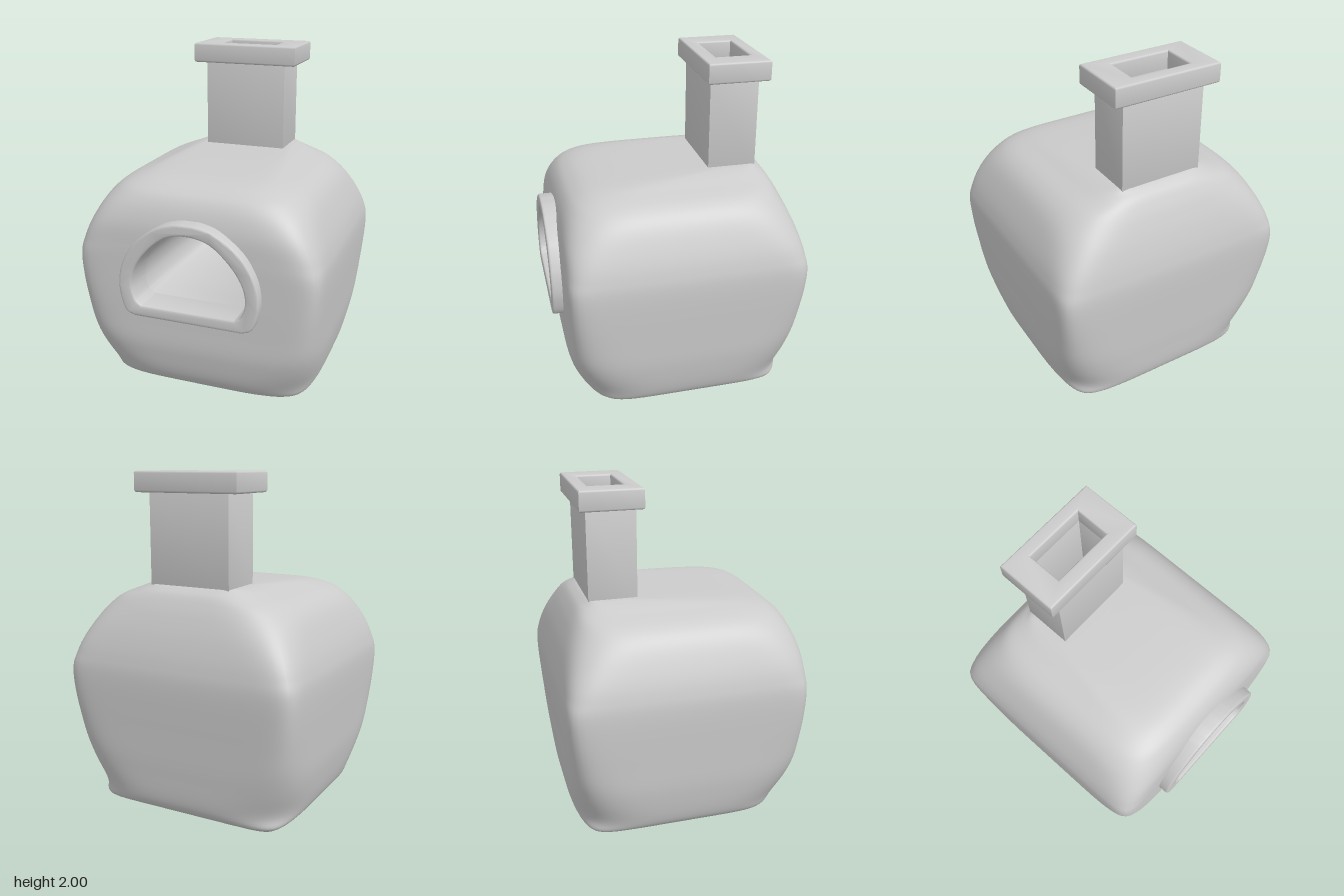
import * as THREE from 'three';
import { toCreasedNormals } from 'three/addons/utils/BufferGeometryUtils.js';

const grey = new THREE.MeshStandardMaterial({ color: 0xcccccc, side: THREE.DoubleSide });

function add(group, name, geometry, crease) {
  const mesh = new THREE.Mesh(toCreasedNormals(geometry, crease), grey);
  mesh.name = name;
  group.add(mesh);
}

// Mirrored arch outline: flat sill, rounded corners, domed top
function archPoints(half) {
  const right = new THREE.CatmullRomCurve3(
    half.map(([x, y]) => new THREE.Vector3(x, y, 0)), false, 'centripetal').getPoints(32);
  const left = right.slice(0, -1).reverse().map((p) => new THREE.Vector3(-p.x, p.y, 0));
  return [...right, ...left].map((p) => new THREE.Vector2(p.x, p.y));
}
const OUTER = archPoints([[0.33, 0.535], [0.385, 0.56], [0.42, 0.66], [0.425, 0.75], [0.4, 0.86],
  [0.32, 0.99], [0.17, 1.1], [0.06, 1.13], [0, 1.132]]);
const INNER = archPoints([[0.285, 0.605], [0.32, 0.63], [0.345, 0.7], [0.345, 0.76], [0.32, 0.84],
  [0.25, 0.94], [0.14, 1.035], [0.05, 1.063], [0, 1.066]]);
const MIDDLE = OUTER.map((p, i) => p.clone().lerp(INNER[i], 0.5));

function inside(poly, x, y) {
  let hit = false;
  poly.forEach((a, i) => {
    const b = poly[(i + 1) % poly.length];
    if ((a.y > y) !== (b.y > y) && x < ((b.x - a.x) * (y - a.y)) / (b.y - a.y) + a.x) hit = !hit;
  });
  return hit;
}

// Grid of rings joined into a surface; skip() leaves openings
function loft(rings, skip = () => false) {
  const n = rings[0].length;
  const pos = rings.flat().flatMap((p) => [p.x, p.y, p.z]);
  const index = [];
  for (let i = 0; i < rings.length - 1; i++) {
    for (let j = 0; j < n; j++) {
      const k = (j + 1) % n;
      const mid = rings[i][j].clone().add(rings[i + 1][k]).multiplyScalar(0.5);
      if (skip(mid)) continue;
      const a = i * n + j, b = i * n + k, c = a + n, d = b + n;
      index.push(a, c, b, b, c, d);
    }
  }
  const g = new THREE.BufferGeometry();
  g.setAttribute('position', new THREE.Float32BufferAttribute(pos, 3));
  g.setIndex(index);
  return g;
}

// Bulging body: height, half width, front z, back z, squareness of the corners
function bodyGeometry() {
  const levels = [
    [0, 0.58, 0.41, -0.61, 11], [0.07, 0.665, 0.6, -0.69, 4.5], [0.28, 0.715, 0.67, -0.718, 6],
    [0.5, 0.733, 0.68, -0.732, 10], [0.8, 0.747, 0.682, -0.747, 16], [0.94, 0.73, 0.68, -0.735, 12],
    [1.08, 0.68, 0.67, -0.7, 8], [1.2, 0.615, 0.63, -0.655, 5.5], [1.27, 0.535, 0.565, -0.62, 5],
    [1.315, 0.42, 0.44, -0.59, 5], [1.34, 0.35, 0.15, -0.56, 5], [1.355, 0.29, -0.22, -0.535, 6],
  ];
  const SUB = 8, SEG = 200;
  const smooth = (v, i, t) => {
    const at = (k) => levels[Math.min(Math.max(k, 0), levels.length - 1)][v];
    const p0 = at(i - 1), p1 = at(i), p2 = at(i + 1), p3 = at(i + 2);
    const m1 = (p2 - p0) * 0.5, m2 = (p3 - p1) * 0.5;
    const u = t * t, w = u * t;
    return (2 * w - 3 * u + 1) * p1 + (w - 2 * u + t) * m1 + (3 * u - 2 * w) * p2 + (w - u) * m2;
  };
  const ring = (y, hw, zf, zb, n) => Array.from({ length: SEG }, (_, j) => {
    const c = Math.cos((j / SEG) * Math.PI * 2), s = Math.sin((j / SEG) * Math.PI * 2);
    const r = (Math.abs(c) ** n + Math.abs(s) ** n) ** (-1 / n);
    return new THREE.Vector3(hw * c * r, y, (zf + zb) / 2 + ((zf - zb) / 2) * s * r);
  });
  // Flat base, inset ring keeping its shading flat, walls, then the flat crown
  const rings = [ring(0, 0, -0.1, -0.1, 11), ring(0, 0.56, 0.39, -0.59, 11)];
  for (let k = 0; k <= (levels.length - 1) * SUB; k++) {
    const i = Math.min(Math.floor(k / SUB), levels.length - 2), t = k / SUB - i;
    rings.push(ring(...[0, 1, 2, 3, 4].map((v) => smooth(v, i, t))));
  }
  rings.push(ring(1.355, 0, -0.38, -0.38, 6));
  return loft(rings, (p) => p.z > 0.5 && inside(MIDDLE, p.x, p.y));
}

// Chamber behind the mouth, closing in a rounded back
function chamberGeometry() {
  const sections = [[0.7, 1], [0.45, 1], [0.1, 0.98], [-0.2, 0.9], [-0.4, 0.7], [-0.48, 0.4], [-0.5, 0]];
  return loft(sections.map(([z, s]) =>
    INNER.map((p) => new THREE.Vector3(p.x * s, 0.78 + (p.y - 0.78) * s, z))));
}

function extrude(outline, hole, depth, bevel) {
  const shape = new THREE.Shape(outline);
  shape.holes.push(new THREE.Path(hole));
  const g = new THREE.ExtrudeGeometry(shape, {
    depth: depth - 2 * bevel, bevelEnabled: true, bevelSize: bevel, bevelThickness: bevel,
    bevelOffset: -bevel, bevelSegments: 3,
  });
  return g.translate(0, 0, bevel);
}

// Upright rectangular tube around the flue
function flue(hw, zBack, zFront, y0, y1, bevel) {
  const rect = (w, b, f) => [[-w, -f], [w, -f], [w, -b], [-w, -b]].map((p) => new THREE.Vector2(...p));
  return extrude(rect(hw, zBack, zFront), rect(0.182, -0.498, -0.292), y1 - y0, bevel)
    .rotateX(-Math.PI / 2).translate(0, y0, 0);
}

export function createModel() {
  const group = new THREE.Group();
  group.name = 'oven';
  add(group, 'body', bodyGeometry(), 1.1);
  add(group, 'mouthRim', extrude(OUTER, INNER, 0.2, 0.012).translate(0, 0, 0.545), 0.6);
  add(group, 'chamber', chamberGeometry(), 0.8);
  add(group, 'chimney', flue(0.257, -0.53, -0.24, 1.3, 1.9, 0.008), 0.6);
  add(group, 'chimneyCap', flue(0.33, -0.575, -0.207, 1.88, 2, 0.012), 0.6);
  return group;
}
